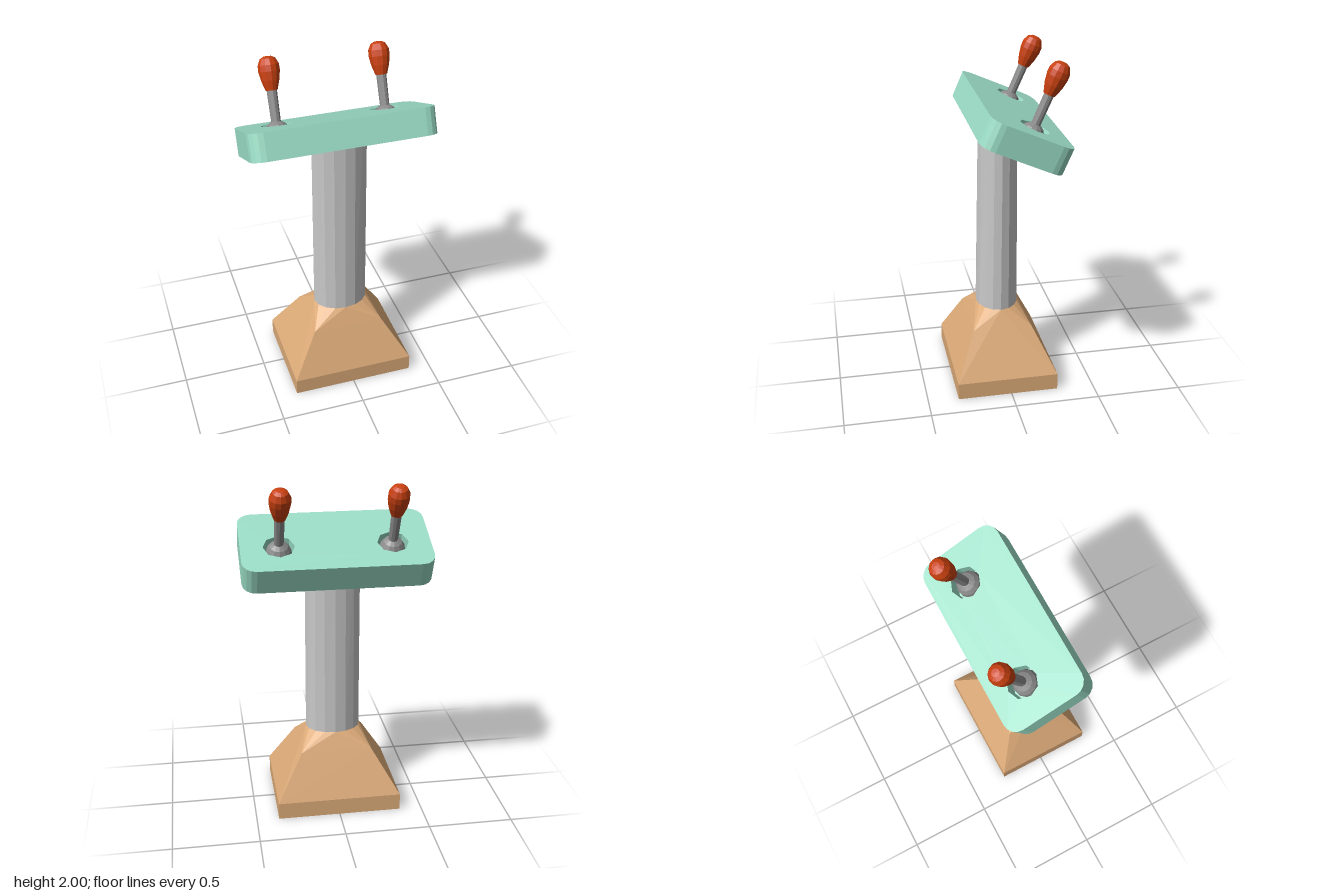
import * as THREE from 'three';
import { ConvexGeometry } from 'three/addons/geometries/ConvexGeometry.js';

const mat = (name, color) => {
  const m = new THREE.MeshStandardMaterial({ color, flatShading: true });
  m.name = name;
  return m;
};

export function createModel() {
  const tan = mat('tan base', 0xdcaa78);
  const lightGrey = mat('light grey column', 0xc9c9c9);
  const mint = mat('mint panel', 0x9adcc5);
  const grey = mat('grey metal', 0x8c8c8c);
  const orange = mat('orange grip', 0xc8400f);

  const model = new THREE.Group();
  model.name = 'controlStand';
  const add = (parent, name, geometry, material) => {
    const mesh = new THREE.Mesh(geometry, material);
    mesh.name = name;
    parent.add(mesh);
    return mesh;
  };

  // Base: square foot, sloping sides, closing onto the oval foot of the column
  const points = [];
  const rect = (y, x, front, back) => {
    for (const sx of [-x, x]) for (const z of [front, back]) points.push(new THREE.Vector3(sx, y, z));
  };
  rect(0, 0.368, 0.32, -0.28);
  rect(0.1, 0.368, 0.32, -0.28);
  rect(0.36, 0.212, 0.2, -0.152);
  for (let i = 0; i < 16; i++) {
    const a = (i / 16) * Math.PI * 2;
    points.push(new THREE.Vector3(0.163 * Math.sin(a), 0.46, 0.025 + 0.125 * Math.cos(a)));
  }
  add(model, 'base', new ConvexGeometry(points), tan);

  // Column: oval section that gets a little thinner towards the top
  const column = new THREE.CylinderGeometry(0.161, 0.163, 1.15, 16);
  const pos = column.attributes.position;
  for (let i = 0; i < pos.count; i++) {
    const top = pos.getY(i) > 0;
    pos.setZ(i, pos.getZ(i) * (top ? 0.69 : 0.767) + (top ? 0.014 : 0.025));
  }
  column.translate(0, 1.025, 0);
  column.computeVertexNormals();
  add(model, 'column', column, lightGrey);

  // Tilted head carrying the panel and levers
  const head = new THREE.Group();
  head.name = 'head';
  head.position.set(0, 1.59, -0.055);
  head.rotation.x = -0.415;
  model.add(head);

  const leverX = 0.32, leverZ = -0.047;
  const panelShape = (withHoles) => {
    const x = 0.535, y = 0.246, r = 0.08;
    const s = new THREE.Shape();
    s.absarc(x - r, y - r, r, 0, Math.PI / 2);
    s.absarc(-x + r, y - r, r, Math.PI / 2, Math.PI);
    s.absarc(-x + r, -y + r, r, Math.PI, Math.PI * 1.5);
    s.absarc(x - r, -y + r, r, Math.PI * 1.5, Math.PI * 2);
    if (withHoles) for (const side of [-1, 1]) {
      const hole = [];
      for (let i = 0; i < 8; i++) {
        const a = (-i / 8) * Math.PI * 2;
        hole.push(new THREE.Vector2(side * leverX + 0.089 * Math.cos(a), -leverZ + 0.089 * Math.sin(a)));
      }
      s.holes.push(new THREE.Path(hole));
    }
    return s;
  };
  // Panel: solid lower layer, upper layer with eight-sided sockets
  const layer = (name, withHoles, y, depth) => {
    const g = new THREE.ExtrudeGeometry(panelShape(withHoles), { depth, bevelEnabled: false, curveSegments: 2 });
    g.rotateX(-Math.PI / 2).translate(0, y, 0);
    add(head, name, g, mint);
  };
  layer('panelBottom', false, -0.0785, 0.057);
  layer('panelTop', true, -0.0215, 0.1);

  // Levers: ball joint, rod and grip
  const gripProfile = [[0, 0.27], [0.034, 0.27], [0.052, 0.325], [0.061, 0.375],
    [0.06, 0.41], [0.043, 0.444], [0.022, 0.455], [0, 0.457]].map(([x, y]) => new THREE.Vector2(x, y));
  for (const side of [1, -1]) {
    const lever = new THREE.Group();
    lever.name = side > 0 ? 'leftLever' : 'rightLever';
    lever.position.set(side * leverX, 0, leverZ + 0.004);
    head.add(lever);
    add(lever, 'ballJoint', new THREE.SphereGeometry(0.074, 12, 8), grey).position.y = 0.028;
    add(lever, 'rod', new THREE.CylinderGeometry(0.029, 0.027, 0.2, 10), grey).position.y = 0.18;
    add(lever, 'grip', new THREE.LatheGeometry(gripProfile, 12), orange);
  }
  return model;
}
